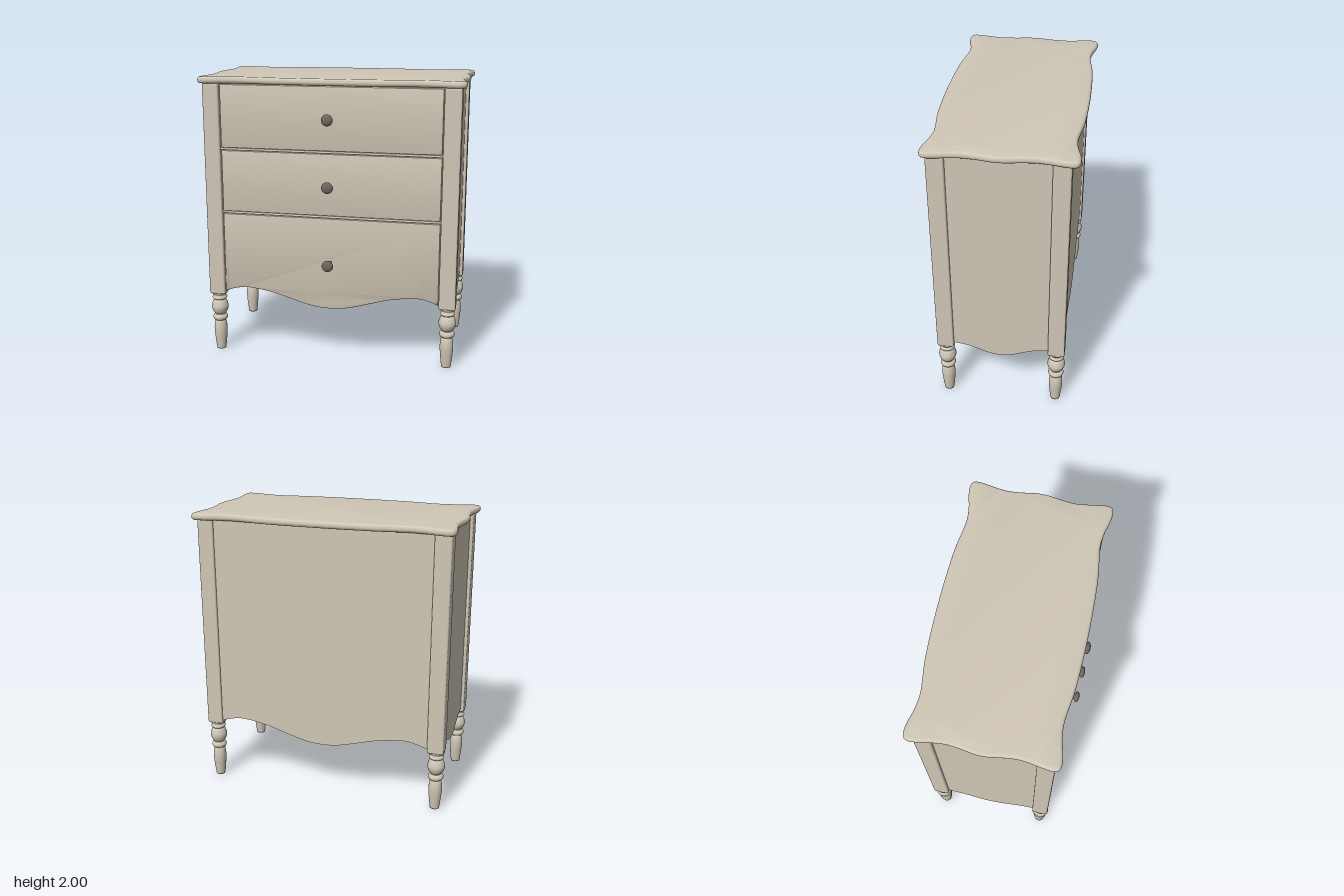
import * as THREE from 'three';
import { toCreasedNormals } from 'three/addons/utils/BufferGeometryUtils.js';
import { RoundedBoxGeometry } from 'three/addons/geometries/RoundedBoxGeometry.js';

const paint = new THREE.MeshStandardMaterial({ color: 0xd0c7b6 });
const metal = new THREE.MeshStandardMaterial({ color: 0x6f6661 });
const v2 = (x, y) => new THREE.Vector2(x, y);

function add(parent, name, geometry, material = paint) {
  const mesh = new THREE.Mesh(geometry, material);
  mesh.name = name;
  parent.add(mesh);
  return mesh;
}

// Extrusion whose bevel stays inside the outline; spans z = 0..thickness
function slab(points, thickness, bevel, segments = 1) {
  const geometry = new THREE.ExtrudeGeometry(new THREE.Shape(points), {
    depth: thickness - 2 * bevel,
    bevelEnabled: bevel > 0,
    bevelThickness: bevel,
    bevelSize: bevel,
    bevelOffset: -bevel,
    bevelSegments: segments,
  });
  geometry.translate(0, 0, bevel);
  return toCreasedNormals(geometry, 0.6);
}

// Panel outline: straight top, lower edge mirrored from points running centre to side
function scalloped(half, top) {
  const mirrored = half.slice(1).reverse().map(([x, y]) => v2(-x, y));
  const edge = new THREE.SplineCurve([...mirrored, ...half.map(([x, y]) => v2(x, y))]);
  const width = half[half.length - 1][0];
  return [...edge.getPoints(48), v2(width, top), v2(-width, top)];
}

const rectangle = (w, y0, y1) => [v2(-w, y0), v2(w, y0), v2(w, y1), v2(-w, y1)];

// Smooth turned profile from a few [radius, height] points
function turned(points, ends) {
  const curve = new THREE.SplineCurve(points.map(([r, y]) => v2(r, y)));
  return new THREE.LatheGeometry([v2(0, ends[0]), ...curve.getPoints(72), v2(0, ends[1])], 32);
}

function serpentineTop() {
  // One quarter of the outline, from front centre to side centre
  const quarter = [
    [0, 0.485], [0.2, 0.482], [0.4, 0.472], [0.52, 0.456], [0.62, 0.446], [0.72, 0.457],
    [0.8, 0.477], [0.87, 0.484], [0.903, 0.472], [0.914, 0.44], [0.908, 0.38],
    [0.893, 0.29], [0.887, 0.22], [0.897, 0.12], [0.91, 0.04],
  ];
  const back = quarter.slice().reverse();
  const outline = [
    ...quarter,
    ...back.slice(0, -1).map(([x, z]) => [x, -z]),
    ...quarter.map(([x, z]) => [-x, -z]),
    ...back.slice(0, -1).map(([x, z]) => [-x, z]),
  ].map(([x, z]) => new THREE.Vector3(x, z, 0));
  const curve = new THREE.CatmullRomCurve3(outline, true, 'centripetal');
  const points = curve.getPoints(200).slice(0, -1).map((p) => v2(p.x, p.y));
  const geometry = slab(points, 0.046, 0.02, 5);
  geometry.rotateX(Math.PI / 2).translate(0, 2, -0.015);
  return geometry;
}

export function createModel() {
  const model = new THREE.Group();
  model.name = 'chestOfDrawers';
  const topY = 1.956;

  add(model, 'tabletop', serpentineTop());

  // Corner posts on turned legs
  const postGeometry = new RoundedBoxGeometry(0.115, topY - 0.435, 0.115, 3, 0.012);
  const legGeometry = turned([
    [0.033, 0], [0.039, 0.05], [0.046, 0.12], [0.047, 0.165], [0.042, 0.205], [0.036, 0.222],
    [0.047, 0.228], [0.054, 0.246], [0.047, 0.264], [0.037, 0.271],
    [0.051, 0.29], [0.061, 0.326], [0.051, 0.366], [0.04, 0.382],
    [0.05, 0.388], [0.053, 0.4], [0.046, 0.412], [0.047, 0.42], [0.055, 0.43], [0.055, 0.44],
  ], [0, 0.44]);
  for (const side of [-1, 1]) {
    for (const z of [0.377, -0.392]) {
      const end = z > 0 ? 'front' : 'back';
      const hand = side > 0 ? 'Left' : 'Right';
      add(model, `${end}${hand}Post`, postGeometry).position.set(side * 0.828, (topY + 0.435) / 2, z);
      add(model, `${end}${hand}Leg`, legGeometry).position.set(side * 0.83, 0, z);
    }
  }

  // Thin panels closing the hollow case, each with a scalloped lower edge
  const wave = [[0, 0.38], [0.12, 0.39], [0.27, 0.43], [0.43, 0.474], [0.6, 0.497], [0.7, 0.483], [0.772, 0.458]];
  const sideWave = [[0, 0.382], [0.07, 0.39], [0.14, 0.415], [0.21, 0.44], [0.27, 0.453], [0.333, 0.462]];
  const wide = slab(scalloped(wave, topY), 0.022, 0);
  add(model, 'frontFrame', wide).position.z = 0.384;
  add(model, 'backPanel', wide).position.z = -0.434;
  const sideGeometry = slab(scalloped(sideWave, topY), 0.022, 0.003);
  for (const side of [-1, 1]) {
    const panel = add(model, side > 0 ? 'leftPanel' : 'rightPanel', sideGeometry);
    panel.rotation.y = side * Math.PI / 2;
    panel.position.set(side * 0.84, 0, -0.006);
  }

  // Drawer fronts with bevelled edges, each with a round knob
  const drawers = [
    ['topDrawer', rectangle(0.766, 1.51, 1.948), 1.73],
    ['middleDrawer', rectangle(0.766, 1.058, 1.492), 1.27],
    ['bottomDrawer', scalloped(wave.map(([x, y]) => [Math.min(x, 0.766), y]), 1.04), 0.715],
  ];
  const knobGeometry = turned([
    [0.022, 0], [0.023, 0.014], [0.016, 0.022], [0.015, 0.034], [0.024, 0.042],
    [0.037, 0.052], [0.04, 0.06], [0.036, 0.07], [0.022, 0.078], [0.002, 0.081],
  ], [0, 0.081]);
  knobGeometry.rotateX(Math.PI / 2);
  for (const [name, outline, knobY] of drawers) {
    const drawer = new THREE.Group();
    drawer.name = name;
    add(drawer, 'drawerFront', slab(outline, 0.024, 0.01, 2)).position.z = 0.396;
    add(drawer, 'knob', knobGeometry, metal).position.set(0, knobY, 0.419);
    model.add(drawer);
  }

  // Rounded beads between the drawers
  const bead = new THREE.CylinderGeometry(0.008, 0.008, 1.54, 12).rotateZ(Math.PI / 2);
  for (const y of [1.501, 1.049]) add(model, 'dividerBead', bead).position.set(0, y, 0.41);

  return model;
}
